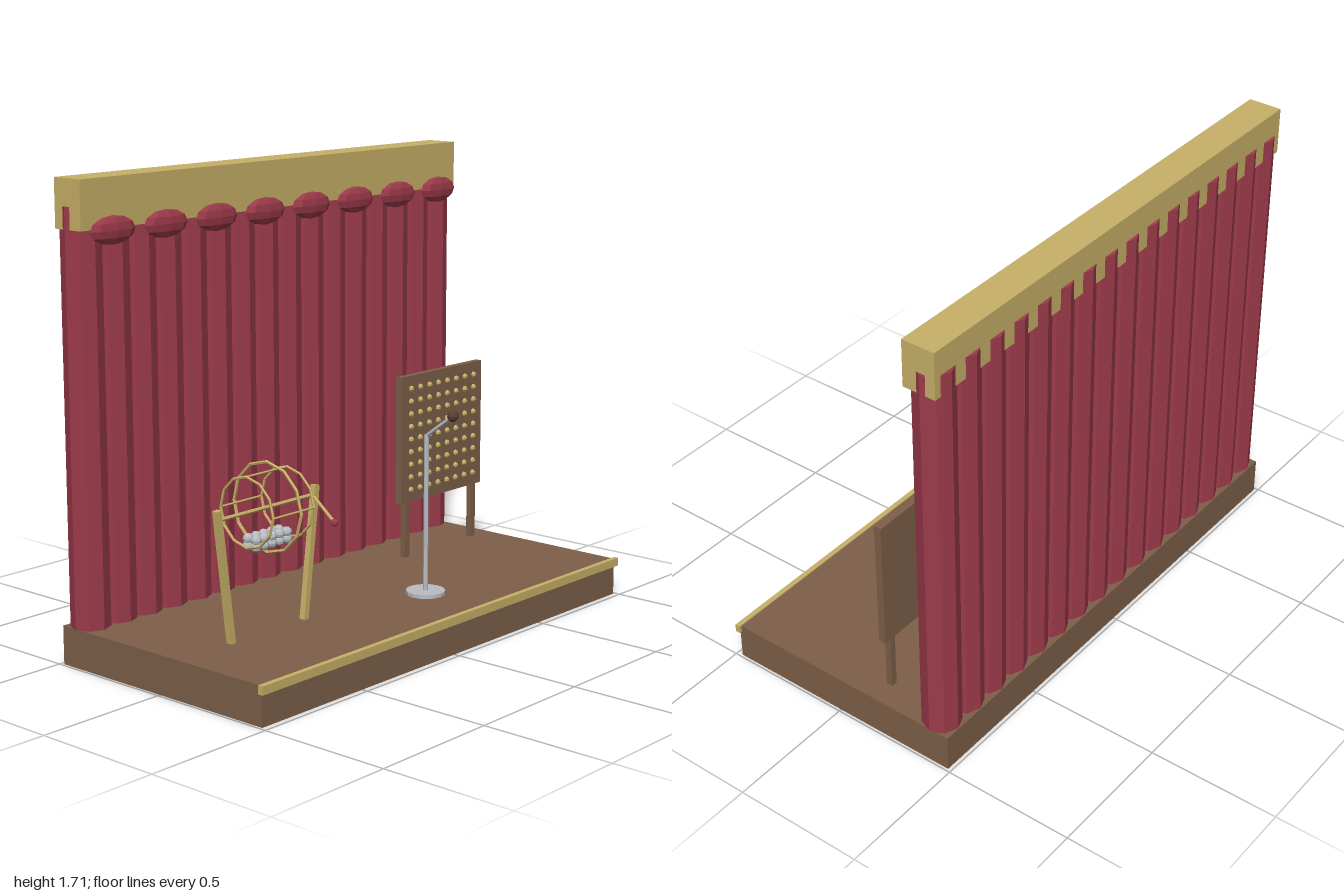
import * as THREE from 'three';

const mat = (name, color) => {
  const m = new THREE.MeshStandardMaterial({ color, flatShading: true });
  m.name = name;
  return m;
};

export function createModel() {
  const wood = mat('brown wood', 0x7d5f48);
  const gold = mat('old gold', 0xc8b068);
  const red = mat('curtain red', 0x9c3a4a);
  const metal = mat('silver metal', 0xb9bdc2);
  const dark = mat('dark brown', 0x5a3d32);

  const model = new THREE.Group();
  model.name = 'stage';

  const group = (name) => {
    const g = new THREE.Group();
    g.name = name;
    model.add(g);
    return g;
  };
  const add = (parent, name, geo, material, x, y, z) => {
    const m = new THREE.Mesh(geo, material);
    m.name = name;
    m.position.set(x, y, z);
    parent.add(m);
    return m;
  };
  const box = (parent, name, material, x0, x1, y0, y1, z0, z1) =>
    add(parent, name, new THREE.BoxGeometry(x1 - x0, y1 - y0, z1 - z0), material,
      (x0 + x1) / 2, (y0 + y1) / 2, (z0 + z1) / 2);
  // straight bar of any cross-section between two points
  const bar = (parent, name, material, a, b, radius, sides = 6) => {
    const p = new THREE.Vector3(...a), q = new THREE.Vector3(...b);
    const dir = q.clone().sub(p);
    const m = add(parent, name, new THREE.CylinderGeometry(radius, radius, dir.length(), sides),
      material, ...p.clone().add(q).multiplyScalar(0.5).toArray());
    m.quaternion.setFromUnitVectors(new THREE.Vector3(0, 1, 0), dir.normalize());
    return m;
  };

  // platform and front trim
  box(model, 'platform', wood, -0.99, 0.99, 0, 0.142, -0.486, 0.477);
  box(model, 'frontTrim', gold, -1, 1, 0.115, 0.146, 0.47, 0.49);

  // backdrop of eight-sided folds
  const curtain = group('curtain');
  const fold = new THREE.CylinderGeometry(0.071, 0.071, 1.476, 8);
  for (let i = 0; i < 16; i++) {
    add(curtain, 'curtainFold', fold, red, (i - 7.5) * 0.1235, 0.88, -0.412);
  }

  // header beam and swags
  box(model, 'headerBeam', gold, -0.99, 0.99, 1.54, 1.714, -0.468, -0.34);
  const swags = group('swags');
  const swagGeo = new THREE.SphereGeometry(1, 8, 6).scale(0.104, 0.05, 0.025);
  for (let i = 0; i < 8; i++) {
    add(swags, 'swag', swagGeo, red, (i - 3.5) * 0.247, 1.536, -0.32);
  }

  // peg board
  const board = group('pegBoard');
  box(board, 'boardPanel', wood, 0.437, 0.93, 0.36, 0.86, -0.17, -0.142);
  for (const x of [0.478, 0.89]) {
    box(board, 'boardLeg', wood, x - 0.0125, x + 0.0125, 0.142, 0.37, -0.168, -0.144);
  }
  const pegGeo = new THREE.SphereGeometry(0.012, 6, 5);
  for (let r = 0; r < 9; r++) {
    for (let c = 0; c < 8; c++) {
      add(board, 'peg', pegGeo, gold, 0.493 + c * 0.055, 0.41 + r * 0.05, -0.141);
    }
  }

  // microphone stand
  const mic = group('microphone');
  add(mic, 'micBase', new THREE.CylinderGeometry(0.073, 0.073, 0.014, 16), metal, 0.147, 0.149, 0.221);
  bar(mic, 'micPole', metal, [0.147, 0.15, 0.221], [0.147, 0.74, 0.221], 0.009, 8);
  bar(mic, 'micArm', metal, [0.147, 0.737, 0.221], [0.147, 0.825, 0.34], 0.007);
  add(mic, 'micHead', new THREE.SphereGeometry(0.021, 8, 6), dark, 0.147, 0.826, 0.342);

  // ball cage: rings, rails and axle
  const cage = group('ballCage');
  const cx = -0.56, cy = 0.586, cz = 0.096;
  const rings = [[0, 0.16, 0.006], [-0.101, 0.125, 0.005], [0.101, 0.125, 0.005]];
  for (const [dx, radius, tube] of rings) {
    add(cage, 'cageRing', new THREE.TorusGeometry(radius, tube, 5, 12).rotateY(Math.PI / 2),
      gold, cx + dx, cy, cz);
  }
  for (let i = 0; i < 4; i++) {
    const a = i * Math.PI / 2;
    const y = cy + 0.125 * Math.cos(a), z = cz + 0.125 * Math.sin(a);
    bar(cage, 'cageRail', gold, [cx - 0.101, y, z], [cx + 0.101, y, z], 0.004);
  }
  bar(cage, 'axle', gold, [-0.805, cy, cz], [-0.312, cy, cz], 0.007);

  // leaning square legs
  for (const s of [-1, 1]) {
    const top = [cx + s * 0.244, 0.62, cz], foot = [cx + s * 0.183, 0.142, cz];
    const leg = add(cage, 'cageLeg', new THREE.BoxGeometry(0.023, 0.482, 0.023), gold,
      (top[0] + foot[0]) / 2, 0.381, cz);
    leg.rotation.z = -s * Math.atan2(0.061, 0.478);
  }

  // crank
  bar(cage, 'crankArm', gold, [-0.33, cy, cz], [-0.33, 0.505, 0.198], 0.006);
  add(cage, 'crankKnob', new THREE.SphereGeometry(0.014, 8, 6), red, -0.33, 0.503, 0.2);

  // balls resting in the cage
  const ballGeo = new THREE.SphereGeometry(0.019, 8, 6);
  for (let i = 0; i < 5; i++) {
    for (const y of [0.463, 0.487]) {
      for (const dz of [-0.019, 0.019]) {
        add(cage, 'ball', ballGeo, metal, cx + (i - 2) * 0.038, y, cz + dz);
      }
    }
  }
  return model;
}
